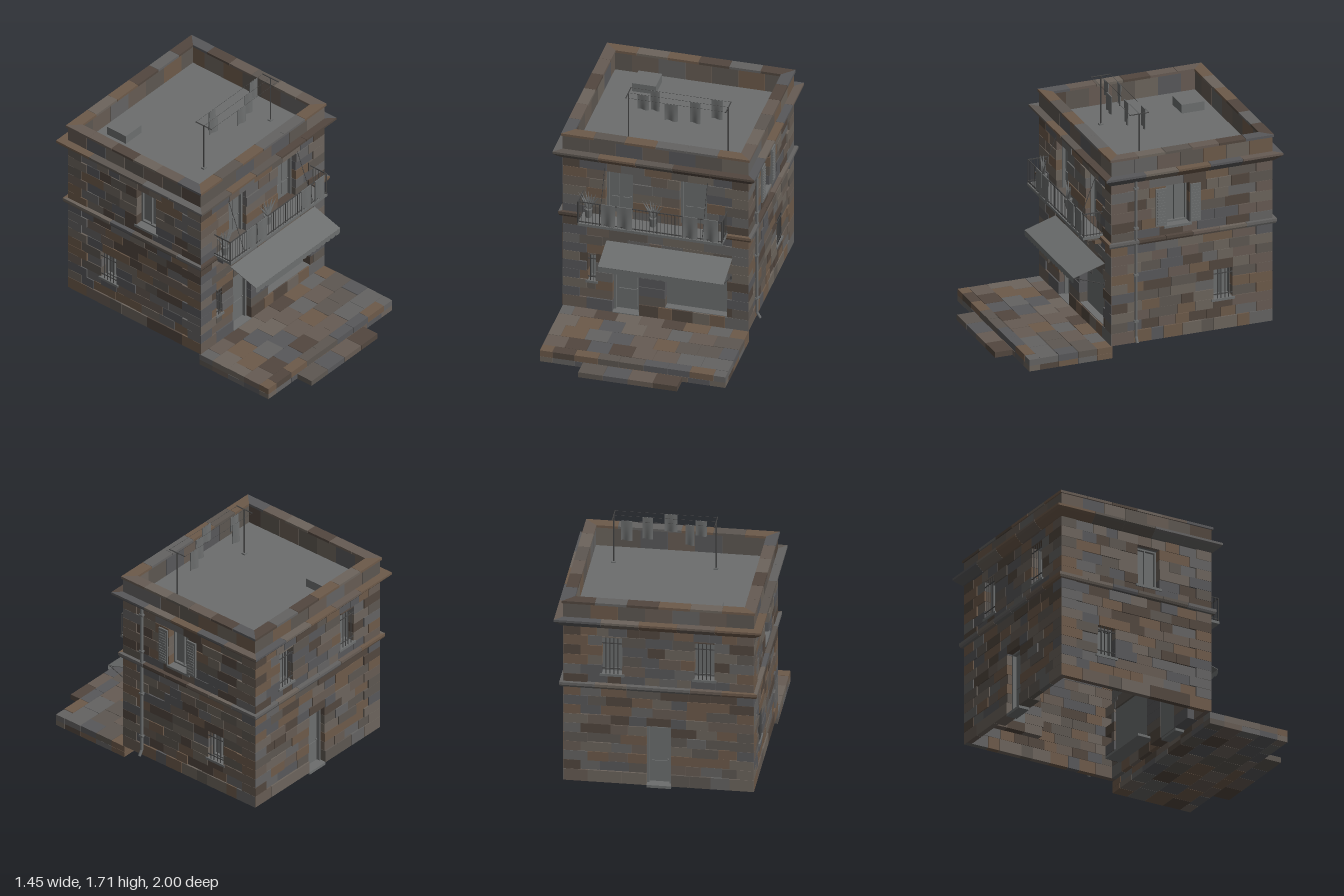
import * as THREE from 'three';
import { mergeGeometries } from 'three/addons/utils/BufferGeometryUtils.js';

const HW = 0.665, HD = 0.6, CZ = -0.34;          // house half width, half depth, centre z
const grey = new THREE.MeshStandardMaterial({ color: 0x6c6e6e, side: THREE.DoubleSide });
const metal = new THREE.MeshStandardMaterial({ color: 0x444444 });
const PALETTE = [0x665b53, 0x646362, 0x58585a, 0x52473f, 0x6c645c, 0x6d5a4a, 0x5d5751];

let seed = 7;
const rnd = (a, b) => {
  seed = (seed * 16807) % 2147483647;
  return a + (b - a) * (seed / 2147483647);
};

// Stones are gathered by colour and merged once at the end
let stones;
function addStone(geo, matrix) {
  const g = geo.index ? geo.toNonIndexed() : geo;
  if (matrix) g.applyMatrix4(matrix);
  stones[Math.floor(rnd(0, PALETTE.length - 0.001))].push(g);
}
// Stone block given by its extents
const block = (x0, x1, y0, y1, z0, z1, matrix) => addStone(new THREE.BoxGeometry(x1 - x0, y1 - y0, z1 - z0)
  .translate((x0 + x1) / 2, (y0 + y1) / 2, (z0 + z1) / 2), matrix);

function mesh(parent, name, geo, x = 0, y = 0, z = 0, mat = grey) {
  const m = new THREE.Mesh(geo, mat);
  m.name = name;
  m.position.set(x, y, z);
  parent.add(m);
  return m;
}
const box = (p, name, x0, x1, y0, y1, z0, z1, mat) => mesh(p, name,
  new THREE.BoxGeometry(x1 - x0, y1 - y0, z1 - z0), (x0 + x1) / 2, (y0 + y1) / 2, (z0 + z1) / 2, mat);
// Rod between two points
function rod(parent, name, a, b, r = 0.003, mat = metal) {
  const va = new THREE.Vector3(...a), vb = new THREE.Vector3(...b), d = vb.clone().sub(va);
  const m = mesh(parent, name, new THREE.CylinderGeometry(r, r, d.length(), 6), 0, 0, 0, mat);
  m.position.copy(va).add(vb).multiplyScalar(0.5);
  m.quaternion.setFromUnitVectors(new THREE.Vector3(0, 1, 0), d.normalize());
}
// Gently waving hanging cloth
function cloth(parent, name, x0, x1, y0, y1, z) {
  const g = new THREE.BoxGeometry(x1 - x0, y1 - y0, 0.006, 8, 4, 1), p = g.attributes.position;
  for (let i = 0; i < p.count; i++)
    p.setZ(i, p.getZ(i) + 0.008 * Math.sin(p.getX(i) * 70) * (0.5 - p.getY(i) / (y1 - y0)));
  g.computeVertexNormals();
  mesh(parent, name, g, (x0 + x1) / 2, (y0 + y1) / 2, z);
}

// Coursed stone wall in local space (outer face z = 0), split around openings [x0, x1, y0, y1]
function stoneWall(half, openings, matrix) {
  const rows = [[0.09, 0.18]];
  for (let i = 0; i < 9; i++) rows.push([0.18 + i * 0.0722, 0.18 + (i + 1) * 0.0722]);
  for (let i = 0; i < 6; i++) rows.push([0.85 + i * 0.076, 0.85 + (i + 1) * 0.076]);
  const stone = (x0, x1, y0, y1, inset, depth) => {
    if (x1 - x0 < 0.008 || y1 - y0 < 0.008) return;
    block(x0 + 0.0008, x1 - 0.0008, y0 + 0.0008, y1 - 0.0008, -depth, -inset, matrix);
  };
  rows.forEach(([y0, y1], r) => {
    const q = r % 2 ? 0.12 : 0.17;                        // alternating corner stones
    const cuts = [-half, -half + q, half - q, half];
    const hit = openings.filter(o => o[2] < y1 - 0.002 && o[3] > y0 + 0.002);
    hit.forEach(o => cuts.push(o[0], o[1]));
    cuts.sort((a, b) => a - b);
    for (let i = 0; i + 1 < cuts.length; i++) {
      const a = cuts[i], b = cuts[i + 1], mid = (a + b) / 2;
      const o = hit.find(h => mid > h[0] && mid < h[1]);
      if (o) {
        stone(a, b, y0, Math.min(y1, o[2]), 0.004, 0.09);
        stone(a, b, Math.max(y0, o[3]), y1, 0.004, 0.09);
        continue;
      }
      const corner = a < -half + 0.01 || b > half - 0.01;
      const n = corner ? 1 : Math.max(1, Math.round((b - a) / rnd(0.11, 0.19)));
      for (let k = 0, x = a; k < n; k++) {
        const e = k === n - 1 ? b : a + (k + 1 + rnd(-0.25, 0.25)) * (b - a) / n;
        const reveal = hit.some(h => Math.abs(h[1] - x) < 0.001 || Math.abs(h[0] - e) < 0.001);
        stone(x, e, y0, y1, corner || !r ? 0 : rnd(0.002, 0.012), reveal ? 0.09 : 0.04);
        x = e;
      }
    }
  });
}

// Mitred course of blocks along one wall; profile points are [outward, y]
function course(half, profile, count, matrix) {
  const shape = new THREE.Shape(profile.map(p => new THREE.Vector2(...p)));
  for (let i = 0; i < count; i++) {
    const L = 2 * half / count, x1 = -half + (i + 1) * L;
    const g = new THREE.ExtrudeGeometry(shape, { depth: L, bevelEnabled: false });
    g.rotateY(-Math.PI / 2).translate(x1, 0, 0);
    const p = g.attributes.position;
    for (let v = 0; v < p.count; v++) {
      const x = p.getX(v), end = x > x1 - L / 2 ? 1 : -1;
      const atCorner = Math.abs(Math.abs(x) - half) < 1e-4;
      p.setX(v, x + end * (atCorner ? p.getZ(v) : -0.0008));
    }
    g.computeVertexNormals();
    addStone(g, matrix);
  }
}

// Framed window set back in an opening, with optional bars
function makeWindow(p, [x0, x1, y0, y1], bars) {
  box(p, 'windowPane', x0, x1, y0, y1, -0.088, -0.08);
  for (const x of [x0, x1 - 0.012]) box(p, 'windowFrameSide', x, x + 0.012, y0, y1, -0.08, -0.06);
  for (const y of [y0, y1 - 0.012]) box(p, 'windowFrameRail', x0, x1, y, y + 0.012, -0.08, -0.06);
  box(p, 'windowMullion', (x0 + x1) / 2 - 0.004, (x0 + x1) / 2 + 0.004, y0, y1, -0.08, -0.065);
  box(p, 'windowSill', x0 - 0.015, x1 + 0.015, y0 - 0.018, y0, -0.08, 0.002);
  for (let i = 1; i <= bars; i++) {
    const x = x0 + (x1 - x0) * i / (bars + 1);
    rod(p, 'windowBar', [x, y0, -0.008], [x, y1, -0.008], 0.0035);
  }
  if (bars) for (const y of [y0 * 0.85 + y1 * 0.15, y0 * 0.15 + y1 * 0.85])
    box(p, 'windowCrossBar', x0, x1, y - 0.003, y + 0.003, -0.011, -0.005, metal);
}
// Door with raised panels, in n leaves
function makeDoor(p, [x0, x1, y0, y1], n) {
  box(p, 'doorBack', x0, x1, y0, y1, -0.088, -0.07);
  for (const x of [x0, x1 - 0.014]) box(p, 'doorJamb', x, x + 0.014, y0, y1, -0.07, -0.045);
  box(p, 'doorHead', x0, x1, y1 - 0.014, y1, -0.07, -0.045);
  const w = (x1 - x0 - 0.028) / n, h = y1 - y0;
  for (let i = 0; i < n; i++) {
    const a = x0 + 0.029 + i * w, b = a + w - 0.03;
    box(p, 'doorLowerPanel', a, b, y0 + 0.03, y0 + h * 0.36, -0.07, -0.063);
    box(p, 'doorUpperPanel', a, b, y0 + h * 0.41, y1 - 0.035, -0.07, -0.063);
  }
  mesh(p, 'doorKnob', new THREE.SphereGeometry(0.007, 8, 6), x1 - 0.028, y0 + h * 0.39, -0.061);
}

function makeBalcony(p) {
  box(p, 'balconySlab', -0.52, 0.515, 0.852, 0.872, 0, 0.15);
  for (const x of [-0.46, -0.155, 0.155, 0.46]) {
    block(x - 0.025, x + 0.025, 0.825, 0.852, 0, 0.105, p.matrix);
    block(x - 0.025, x + 0.025, 0.795, 0.825, 0, 0.05, p.matrix);
  }
  for (const y of [0.885, 1.045]) {
    box(p, 'railFront', -0.52, 0.515, y - 0.003, y + 0.003, 0.14, 0.146, metal);
    for (const x of [-0.517, 0.512]) box(p, 'railSide', x - 0.003, x + 0.003, y - 0.003, y + 0.003, 0, 0.143, metal);
  }
  for (let i = 0; i <= 40; i++) {
    const x = -0.517 + i * 1.029 / 40;
    rod(p, 'baluster', [x, 0.872, 0.143], [x, 1.045, 0.143], i % 40 ? 0.002 : 0.005);
  }
  for (const x of [-0.517, 0.512]) for (let i = 1; i < 6; i++)
    rod(p, 'sideBaluster', [x, 0.872, i * 0.024], [x, 1.045, i * 0.024], 0.002);
  for (const [a, b] of [[-0.35, -0.25], [-0.235, -0.13], [0.235, 0.34], [0.385, 0.485]])
    cloth(p, 'balconyCloth', a, b, 0.88, 1.052, 0.149);
  for (const x of [-0.365, 0.372]) rod(p, 'balconyStay', [x, 1.25, 0], [x, 0.88, 0.143], 0.0025);
  // Potted plants with a fan of leaves
  for (const x of [-0.465, -0.005]) {
    mesh(p, 'plantPot', new THREE.CylinderGeometry(0.03, 0.02, 0.07, 10), x, 0.907, 0.05);
    for (let i = -3; i <= 3; i++) mesh(p, 'plantLeaf', new THREE.ConeGeometry(0.014, 0.14, 5).translate(0, 0.07, 0),
      x, 0.94, 0.05).rotation.set(0.1 * (i % 2), 0, -i * 0.2);
  }
}

function makeAwning(p) {
  const x0 = -0.35, x1 = 0.55, n = 18, w = (x1 - x0) / n;
  mesh(p, 'awningCanopy', new THREE.BoxGeometry(x1 - x0, 0.004, 0.243), 0.1, 0.632, 0.12).rotation.x = 0.309;
  const s = new THREE.Shape().moveTo(x0, 0.562).lineTo(x0, 0.597).lineTo(x1, 0.597).lineTo(x1, 0.562);
  for (let i = n; i > 0; i--) s.quadraticCurveTo(x0 + (i - 0.5) * w, 0.54, x0 + (i - 1) * w, 0.562);
  mesh(p, 'awningValance', new THREE.ShapeGeometry(s, 4), 0, 0, 0.236);
  for (const x of [-0.12, 0.1, 0.32, 0.54]) {
    rod(p, 'awningStay', [x, 0.51, 0], [x, 0.594, 0.235]);
    box(p, 'awningBracket', x - 0.006, x + 0.006, 0.5, 0.525, 0, 0.01, metal);
  }
}

export function createModel() {
  const model = new THREE.Group();
  model.name = 'stoneHouse';
  stones = PALETTE.map(() => []);
  const shop = [0.065, 0.51, 0.18, 0.56], frontDoor = [-0.31, -0.12, 0.09, 0.55], slit = [-0.485, -0.43, 0.32, 0.53];
  const upperDoors = [[-0.36, -0.165, 0.87, 1.23], [0.17, 0.365, 0.87, 1.23]];
  const backWindows = [[-0.395, -0.255, 0.94, 1.22], [0.25, 0.39, 0.94, 1.22]], backDoor = [-0.085, 0.085, 0.09, 0.55];
  const sideTop = [-0.19, -0.015, 0.93, 1.23], sideLow = [0.165, 0.305, 0.32, 0.54];
  const mirror = ([a, b, c, d]) => [-b, -a, c, d];
  const group = {};
  for (const [name, ry, half, dist, openings] of [
    ['front', 0, HW, HD, [shop, frontDoor, slit, ...upperDoors]], ['back', Math.PI, HW, HD, [...backWindows, backDoor]],
    ['left', Math.PI / 2, HD, HW, [sideTop, sideLow]], ['right', -Math.PI / 2, HD, HW, [mirror(sideTop), mirror(sideLow)]]]) {
    const g = group[name] = new THREE.Group();
    g.name = name + 'Fittings';
    g.rotation.y = ry;
    g.position.set(Math.sin(ry) * dist, 0, CZ + Math.cos(ry) * dist);
    g.updateMatrix();
    model.add(g);
    stoneWall(half, openings, g.matrix);
    course(half, [[-0.03, 0.83], [0.018, 0.83], [0.025, 0.845], [0.025, 0.865], [-0.03, 0.865]], 6, g.matrix);
    course(half, [[-0.05, 1.3], [0.008, 1.3], [0.045, 1.335], [0.058, 1.35], [0.058, 1.366], [-0.05, 1.366]], 5, g.matrix);
    course(half, [[-0.068, 1.33], [0, 1.33], [0, 1.475], [-0.068, 1.475]], 7, g.matrix);
    course(half, [[-0.073, 1.475], [0.01, 1.475], [0.01, 1.493], [-0.073, 1.493]], 6, g.matrix);
  }

  // Front, back and side fittings
  const { front, back, left, right } = group;
  for (const [g, d] of [[front, frontDoor], [back, backDoor]]) {
    makeDoor(g, d, 1);
    box(g, 'doorThreshold', d[0], d[1], 0.072, 0.092, -0.08, 0);
  }
  upperDoors.forEach(d => makeDoor(front, d, 2));
  box(front, 'shopWindow', shop[0], shop[1], shop[2], shop[3], -0.075, -0.065);
  box(front, 'shopShelf', shop[0], shop[1], 0.165, 0.183, -0.16, -0.01);
  makeBalcony(front);
  makeAwning(front);
  for (const [g, w, bars] of [[front, slit, 2], [back, backWindows[0], 4], [back, backWindows[1], 4], [left, sideTop, 0],
    [left, sideLow, 4], [right, mirror(sideTop), 0], [right, mirror(sideLow), 4]]) makeWindow(g, w, bars);
  for (const x of [-0.27, -0.015]) {
    box(left, 'shutter', x, x + 0.08, 0.94, 1.22, 0, 0.012);
    for (let y = 0.955; y < 1.2; y += 0.021) box(left, 'shutterSlat', x + 0.01, x + 0.07, y, y + 0.012, 0.012, 0.016);
  }
  // Drainpipe with outlet and clamps
  rod(left, 'drainpipe', [-0.42, 0.14, 0.012], [-0.42, 1.33, 0.012], 0.011, grey);
  rod(left, 'drainOutlet', [-0.42, 0.145, 0.01], [-0.42, 0.1, 0.036], 0.011, grey);
  for (const y of [0.25, 0.6, 0.95, 1.25]) box(left, 'pipeClamp', -0.436, -0.404, y, y + 0.014, 0, 0.025);

  // Roof, hatch and washing lines
  box(model, 'roofFloor', -0.6, 0.6, 1.315, 1.335, CZ - 0.535, CZ + 0.535);
  box(model, 'roofHatch', -0.41, -0.24, 1.335, 1.4, -0.8, -0.63);
  for (const x of [-0.275, 0.44]) {
    rod(model, 'linePost', [x, 1.335, -0.04], [x, 1.705, -0.04], 0.005);
    rod(model, 'lineCrossbar', [x, 1.702, -0.112], [x, 1.702, 0.032], 0.004);
    box(model, 'linePostFoot', x - 0.015, x + 0.015, 1.335, 1.345, -0.055, -0.025);
  }
  for (const z of [-0.11, -0.04, 0.027]) rod(model, 'washingLine', [-0.275, 1.702, z], [0.44, 1.702, z], 0.001);
  for (const [a, b, y, z] of [[-0.21, -0.13, 1.585, -0.04], [-0.135, -0.07, 1.545, -0.11], [0.003, 0.095, 1.57, 0.027],
    [0.165, 0.24, 1.535, -0.04], [0.3, 0.38, 1.55, -0.11]]) cloth(model, 'laundry', a, b, y, 1.702, z);

  // Paved terrace in two layers, and a step
  const zs = [0.248, 0.365, 0.505, 0.65, 0.79, 0.87];
  for (const [y0, y1] of [[0, 0.04], [0.041, 0.087]]) for (let r = 0; r < 5; r++) {
    for (let x = -HW, e; x < HW - 0.01; x = e) {
      e = x + (x > -HW || r % 2 ? rnd(0.15, 0.18) : 0.09);
      if (e > HW - 0.06) e = HW;
      block(x + 0.001, e - 0.001, y0, y1 + rnd(-0.001, 0.002), zs[r] + 0.001, zs[r + 1] - 0.001);
    }
  }
  for (let x = -0.355; x < 0.3; x += 0.1775) block(x + 0.001, x + 0.1765, 0, 0.04, 0.87, 1);

  stones.forEach((list, i) => mesh(model, 'stonework' + (i + 1), mergeGeometries(list), 0, 0, 0,
    new THREE.MeshStandardMaterial({ color: PALETTE[i] })));
  return model;
}
